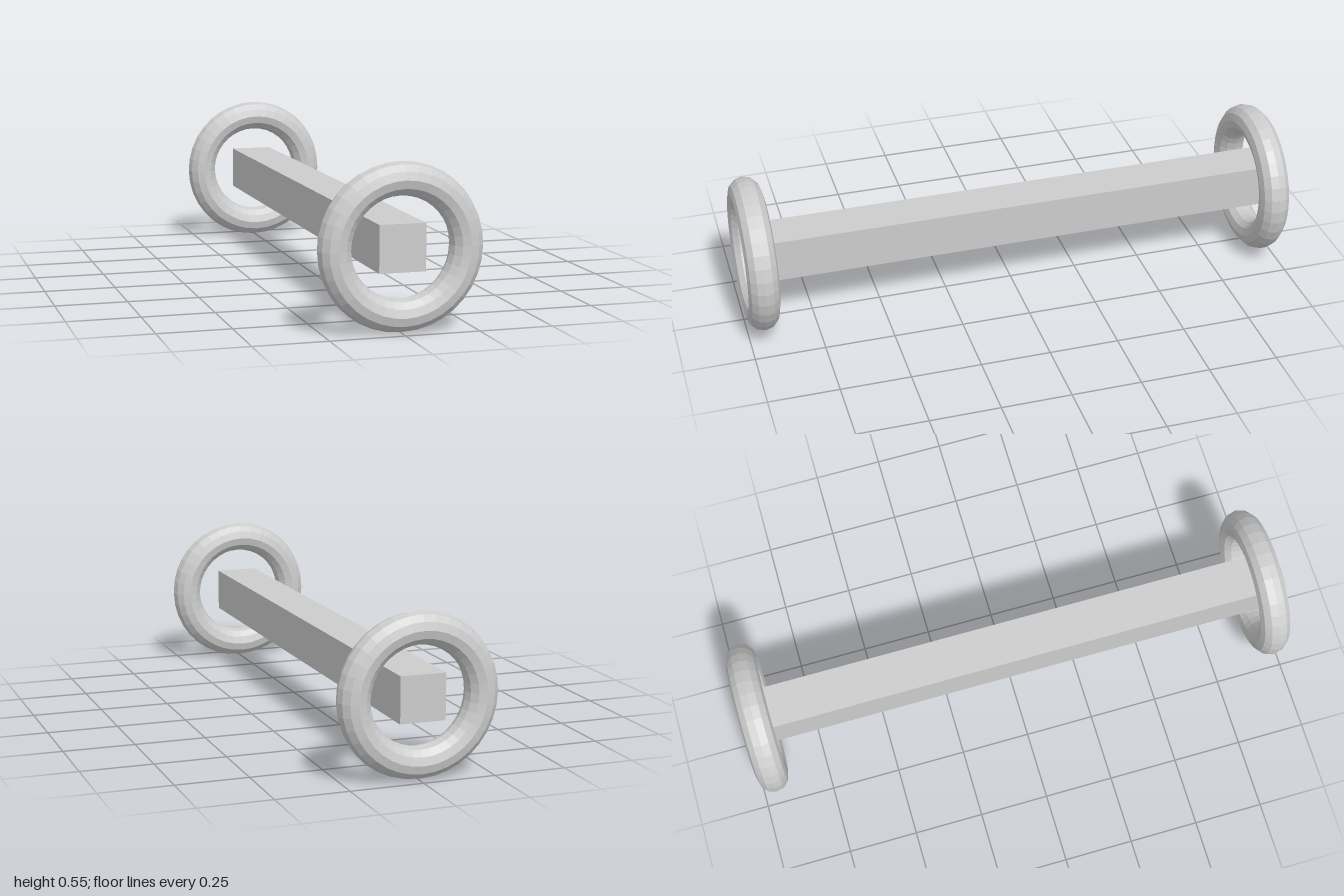
import * as THREE from 'three';

export function createModel() {
  const model = new THREE.Group();
  model.name = 'barWithRings';
  const grey = new THREE.MeshStandardMaterial({ color: 0xcccccc, flatShading: true });
  grey.name = 'light grey';
  const axisY = 0.275;

  // Square bar, slightly further through the back ring than the front one
  const bar = new THREE.Mesh(new THREE.BoxGeometry(0.156, 0.156, 1.955), grey);
  bar.name = 'bar';
  bar.position.set(0, axisY, -0.011);
  model.add(bar);

  // Faceted ring around each end
  const ringGeometry = new THREE.TorusGeometry(0.22, 0.055, 12, 36);
  for (const [name, z] of [['frontRing', 0.945], ['backRing', -0.945]]) {
    const ring = new THREE.Mesh(ringGeometry, grey);
    ring.name = name;
    ring.position.set(0, axisY, z);
    model.add(ring);
  }
  return model;
}
